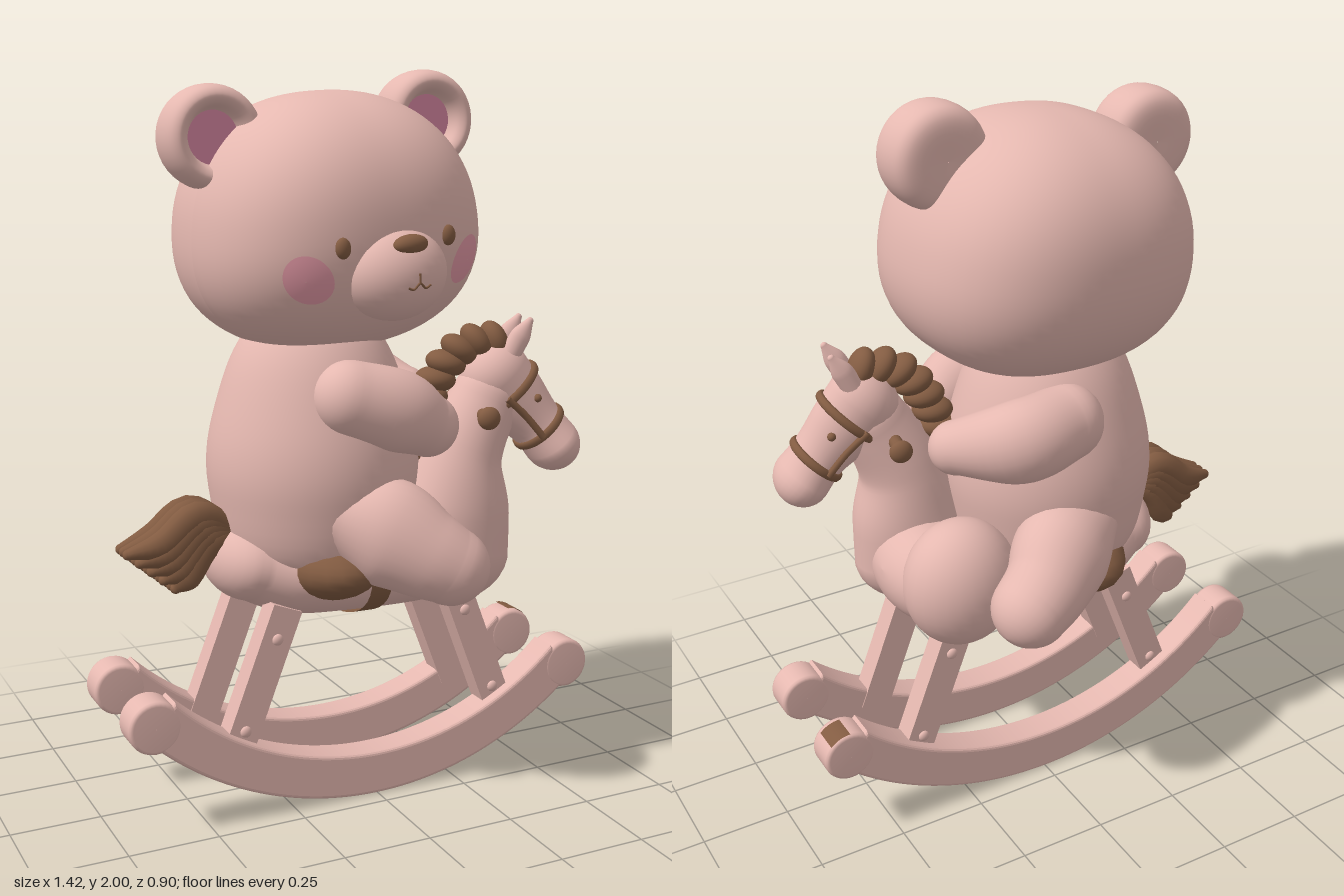
import * as THREE from 'three';

const mat = (name, color, side = THREE.FrontSide) => {
  const m = new THREE.MeshStandardMaterial({ color, side });
  m.name = name;
  return m;
};
const V = (x, y, z) => new THREE.Vector3(x, y, z);

// Smooth solid through stations [x, y, z, inPlaneRadius, sideRadius], with rounded ends
function loft(stations, { sides = 28, steps = 8, cap = true } = {}) {
  const path = new THREE.CatmullRomCurve3(stations.map(s => V(s[0], s[1], s[2])));
  const radii = new THREE.CatmullRomCurve3(stations.map(s => V(s[3], s[4], 0)));
  const n = (stations.length - 1) * steps, rings = [];
  for (let i = 0; i <= n; i++) {
    const t = i / n, r = radii.getPoint(t), T = path.getTangent(t), p = path.getPoint(t);
    const ring = (shift, k) => rings.push({ p: p.clone().addScaledVector(T, shift), T, a: r.x * k, b: r.y * k });
    const depth = Math.min(r.x, r.y);
    if (cap && i === 0) for (let k = 0; k < 8; k++) ring(-depth * Math.cos(k * Math.PI / 16), Math.sin(k * Math.PI / 16));
    ring(0, 1);
    if (cap && i === n) for (let k = 7; k >= 0; k--) ring(depth * Math.cos(k * Math.PI / 16), Math.sin(k * Math.PI / 16));
  }
  const pos = [], idx = [];
  rings.forEach(({ p, T, a, b }, i) => {
    const S = V(0, 0, 1).addScaledVector(T, -T.z).normalize(), N = S.clone().cross(T);
    for (let j = 0; j < sides; j++) {
      const w = j / sides * Math.PI * 2;
      pos.push(...p.clone().addScaledVector(N, a * Math.cos(w)).addScaledVector(S, b * Math.sin(w)).toArray());
      if (i === rings.length - 1) continue;
      const A = i * sides + j, B = i * sides + (j + 1) % sides;
      idx.push(A, B, A + sides, B, B + sides, A + sides);
    }
  });
  const g = new THREE.BufferGeometry();
  g.setAttribute('position', new THREE.Float32BufferAttribute(pos, 3));
  g.setIndex(idx);
  g.computeVertexNormals();
  return g;
}

// Rounded head surface, boxy in plan and wider below than above
function headPoint(v) {
  const e = 2.5, f = 2.25, [a, b, c] = [0.4, 0.346, 0.37];
  const plan = Math.abs(v.x / a) ** e + Math.abs(v.z / c) ** e;
  v.multiplyScalar((plan ** (f / e) + Math.abs(v.y / b) ** f) ** (-1 / f));
  v.x *= 1 - 0.1 * v.y / b;
  return v;
}
function mapVertices(g, fn) {
  const p = g.attributes.position, v = V(0, 0, 0);
  for (let i = 0; i < p.count; i++) {
    fn(v.fromBufferAttribute(p, i));
    p.setXYZ(i, v.x, v.y, v.z);
  }
  g.computeVertexNormals();
  return g;
}

export function createModel() {
  const pink = mat('soft pink', 0xe5b8b0), brown = mat('saddle brown', 0x835c42);
  const blush = mat('blush pink', 0xe89ca9, THREE.DoubleSide), earPink = mat('inner ear pink', 0xd586a0);
  const brownThin = mat('thin strap brown', 0x835c42, THREE.DoubleSide);

  const model = new THREE.Group();
  const group = (name, parent = model) => {
    const g = new THREE.Group();
    g.name = name;
    parent.add(g);
    return g;
  };
  const add = (parent, name, geo, m, x = 0, y = 0, z = 0) => {
    const mesh = new THREE.Mesh(geo, m);
    mesh.name = name;
    mesh.position.set(x, y, z);
    parent.add(mesh);
    return mesh;
  };
  const ball = (parent, name, m, x, y, z, rx, ry = rx, rz = rx) => {
    const b = add(parent, name, new THREE.SphereGeometry(1, 28, 20), m, x, y, z);
    b.scale.set(rx, ry, rz);
    return b;
  };
  const tube = (pts, r) => new THREE.TubeGeometry(new THREE.CatmullRomCurve3(pts), 20, r, 8);

  // Bear torso and limbs
  const bear = group('bear');
  const torso = [[0.001, 0.57], [0.14, 0.6], [0.25, 0.7], [0.288, 0.85], [0.294, 0.97], [0.268, 1.1], [0.215, 1.25], [0.14, 1.34], [0.001, 1.38]];
  const smooth = (pts, n) => new THREE.SplineCurve(pts.map(p => new THREE.Vector2(...p))).getPoints(n);
  add(bear, 'bearBody', new THREE.LatheGeometry(smooth(torso, 40), 48), pink, -0.11, 0, 0);
  for (const s of [1, -1]) add(bear, 'bearLeg', loft([[-0.11, 0.82, 0.19 * s, 0.1, 0.11], [-0.005, 0.78, 0.262 * s, 0.148, 0.13],
    [0.08, 0.725, 0.32 * s, 0.124, 0.115], [0.14, 0.69, 0.342 * s, 0.108, 0.11]]), pink);
  add(bear, 'nearArm', loft([[-0.11, 1.15, 0.235, 0.102, 0.1], [0.02, 1.11, 0.255, 0.11, 0.1], [0.12, 1.06, 0.24, 0.087, 0.087]]), pink);
  add(bear, 'farArm', loft([[-0.04, 1.15, -0.22, 0.105, 0.1], [0.1, 1.135, -0.235, 0.115, 0.105], [0.23, 1.09, -0.1, 0.075, 0.075]]), pink);

  // Bear head, turned and tilted a little
  const head = group('bearHead', bear);
  head.position.set(-0.065, 1.597, -0.015);
  head.rotation.set(0, 0.1, 0.07, 'ZYX');
  add(head, 'skull', mapVertices(new THREE.SphereGeometry(1, 64, 48), headPoint), pink);
  ball(head, 'muzzle', pink, 0.008, -0.12, 0.32, 0.145, 0.122, 0.12);
  ball(head, 'nose', brown, 0.008, -0.042, 0.405, 0.05, 0.026, 0.028);
  const onMuzzle = (x, y) => V(x + 0.008, y, 0.321 + 0.12 * Math.sqrt(1 - (x / 0.145) ** 2 - ((y + 0.12) / 0.122) ** 2));
  add(head, 'mouth', tube([[-0.034, -0.145], [-0.018, -0.151], [0, -0.137], [0.018, -0.151], [0.034, -0.145]].map(p => onMuzzle(...p)), 0.003), brown);
  add(head, 'lipLine', tube([[0, -0.112], [0, -0.124], [0, -0.137]].map(p => onMuzzle(...p)), 0.003), brown);

  const earProfile = smooth([[0.001, -0.075], [0.085, -0.075], [0.122, -0.058], [0.135, -0.02], [0.135, 0.03], [0.125, 0.062],
    [0.105, 0.075], [0.085, 0.062], [0.072, 0.03], [0.06, 0.02], [0.001, 0.02]], 50);
  for (const s of [1, -1]) {
    const eye = headPoint(V(0.142 * s, -0.033, 0.32));
    ball(head, 'eye', brown, eye.x, eye.y, eye.z, 0.021, 0.027, 0.016);
    add(head, 'cheek', mapVertices(new THREE.RingGeometry(0.001, 0.066, 32, 6), v => {
      headPoint(v.set(v.x * 1.15 + 0.23 * s, v.y - 0.11, 0.3)).multiplyScalar(1.008);
    }), blush);
    const ear = group('bearEar', head);
    ear.position.set(0.32 * s, 0.246, 0.004 + 0.018 * s);
    ear.rotation.y = -0.07;
    add(ear, 'earShell', new THREE.LatheGeometry(earProfile, 40).rotateX(Math.PI / 2), pink);
    add(ear, 'innerEar', new THREE.CircleGeometry(0.07, 32), earPink, 0, 0, 0.029);
  }

  // Horse body with chest lobes and neck
  const horse = group('rockingHorse');
  add(horse, 'horseBody', loft([[-0.315, 0.685, 0, 0.118, 0.18], [-0.2, 0.66, 0, 0.14, 0.23], [0, 0.652, 0, 0.142, 0.26],
    [0.2, 0.66, 0, 0.148, 0.26], [0.28, 0.68, 0, 0.14, 0.22]], { sides: 40 }), pink);
  ball(horse, 'chestLobe', pink, 0.245, 0.7, -0.14, 0.165, 0.185, 0.143);
  add(horse, 'neck', loft([[0.235, 0.672, 0.14, 0.195, 0.148], [0.258, 0.8, 0.14, 0.172, 0.142],
    [0.285, 0.95, 0.138, 0.122, 0.12], [0.36, 1.1, 0.145, 0.1, 0.092]]), pink);

  // Saddle and girth
  ball(horse, 'saddle', brown, -0.125, 0.675, 0, 0.168, 0.11, 0.315);
  add(horse, 'girth', loft([[-0.055, 0.652, 0, 0.148, 0.265], [0.005, 0.652, 0, 0.148, 0.268]], { sides: 40, cap: false }), brownThin);

  // Tail of tapered strands
  for (let i = 0; i < 5; i++) for (const k of [-1, 0, 1]) {
    const u = i / 2 - 1, z = 0.038 * k;
    add(horse, 'tailStrand', loft([[-0.36, 0.765, z * 0.6, 0.035, 0.03], [-0.455 - 0.015 * u, 0.785 + 0.04 * u, z, 0.042, 0.036],
      [-0.535 - 0.035 * u, 0.71 + 0.05 * u, z * 1.1, 0.038, 0.034], [-0.595 - 0.065 * u, 0.685 + 0.055 * u, z * 0.8, 0.015, 0.016]],
      { sides: 10, steps: 5 }), brown);
  }

  // Horse head, turned slightly to the front
  const hh = group('horseHead', horse);
  hh.position.set(0.385, 0, 0.145);
  hh.rotation.y = -0.2;
  add(hh, 'face', loft([[0, 1.165, 0, 0.104, 0.092], [0.065, 1.09, 0, 0.096, 0.083], [0.13, 1.02, 0, 0.078, 0.08], [0.18, 0.96, 0, 0.079, 0.1]]), pink);
  const band = (name, x, y, a, b) => {
    const t = add(hh, name, new THREE.TorusGeometry(1, 0.1, 8, 40).rotateY(Math.PI / 2), brown, x, y, 0);
    t.scale.set(0.13, a, b);
    t.rotation.z = -0.82;
  };
  band('noseband', 0.138, 1.01, 0.079, 0.083);
  band('browband', 0.04, 1.12, 0.102, 0.09);
  for (const s of [1, -1]) {
    add(hh, 'cheekStrap', tube([V(0.01, 1.11, 0.092 * s), V(0.065, 1.06, 0.086 * s), V(0.122, 0.995, 0.084 * s)], 0.01), brown);
    ball(hh, 'horseEye', brown, 0.105, 1.105, 0.073 * s, 0.012);
    ball(hh, 'nostril', brown, 0.225, 0.955, 0.063 * s, 0.009);
    add(hh, 'horseEar', loft([[0.03, 1.22, 0.04 * s, 0.03, 0.025], [0.06, 1.275, 0.043 * s, 0.03, 0.022],
      [0.088, 1.32, 0.045 * s, 0.01, 0.009]], { sides: 14 }), pink);
    ball(hh, 'handleKnob', brown, -0.065, 1.07, 0.15 * s, 0.032, 0.032, 0.022);
  }
  add(hh, 'handle', new THREE.CylinderGeometry(0.019, 0.019, 0.3, 16).rotateX(Math.PI / 2), brown, -0.065, 1.07, 0);

  // Mane of overlapping tufts
  const mane = new THREE.CatmullRomCurve3([V(0, 1.262, 0), V(-0.045, 1.262, 0), V(-0.11, 1.235, 0), V(-0.165, 1.17, 0),
    V(-0.205, 1.08, 0), V(-0.225, 0.98, 0), V(-0.23, 0.9, 0)]);
  for (let i = 0; i <= 9; i++) {
    const p = mane.getPointAt(i / 9), d = mane.getTangentAt(i / 9);
    const tuft = ball(hh, 'maneTuft', brown, p.x, p.y, 0, 0.036, 0.058, 0.052);
    tuft.rotation.z = Math.atan2(d.y, d.x) + 0.4;
  }

  // Rockers with round ends, struts and bolts
  const arc = 0.76, down = -Math.PI / 2;
  const bow = new THREE.Shape();
  bow.absarc(0, 0, 0.95, down - arc, down + arc, false);
  bow.absarc(0, 0, 0.845, down + arc, down - arc, true);
  const bowGeo = new THREE.ExtrudeGeometry(bow, { depth: 0.075, bevelSize: 0.01, bevelThickness: 0.01, bevelSegments: 3, curveSegments: 48 });
  const knobGeo = new THREE.LatheGeometry([[0.001, -0.049], [0.062, -0.049], [0.07, -0.046], [0.073, -0.038], [0.073, 0.038],
    [0.07, 0.046], [0.062, 0.049], [0.001, 0.049]].map(p => new THREE.Vector2(...p)), 32).rotateX(Math.PI / 2);
  for (const s of [1, -1]) {
    const rocker = group('rocker');
    rocker.position.set(0, 0.96, 0.152 * s);
    rocker.rotation.z = -0.02;
    add(rocker, 'rockerBow', bowGeo, pink, 0, 0, -0.0375);
    for (const e of [1, -1]) {
      add(rocker, 'rockerEnd', knobGeo, pink, 0.637 * e, -0.662, 0);
      const strut = group('strut');
      strut.position.set(0.337 * e, 0.375, 0.135 * s);
      strut.rotation.z = 0.37 * e;
      add(strut, 'strutBar', new THREE.BoxGeometry(0.088, 0.43, 0.066), pink);
      for (const y of [0.125, -0.14]) ball(strut, 'bolt', pink, 0, y, 0.034 * s, 0.016, 0.016, 0.01);
    }
    if (s < 0) add(rocker, 'rockerPatch', new THREE.CylinderGeometry(0.075, 0.075, 0.075, 12, 1, true, Math.PI - 0.8, 0.85)
      .rotateX(Math.PI / 2), brownThin, 0.637, -0.662, -0.008);
  }
  return model;
}
